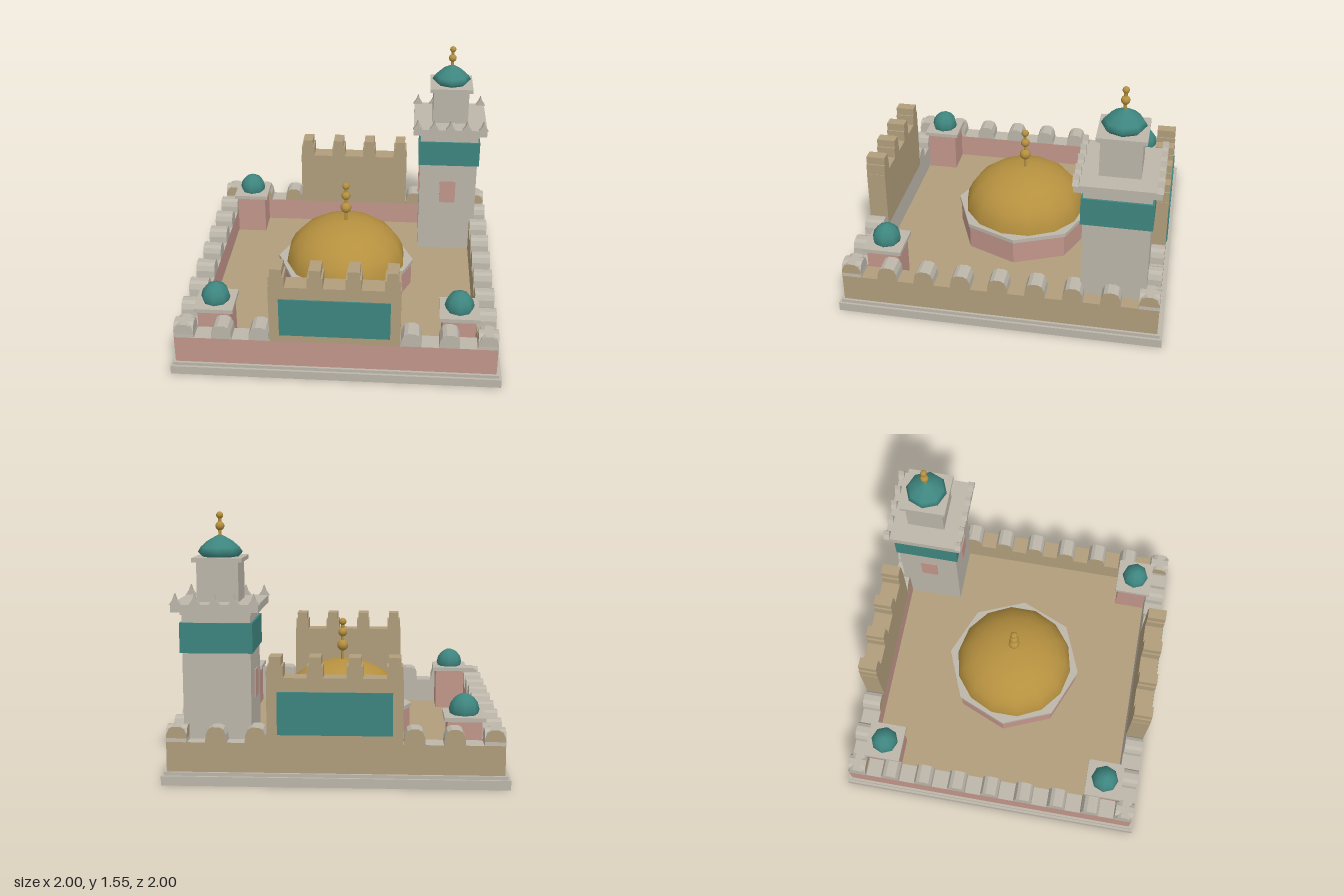
import * as THREE from 'three';

const mat = (name, color) => Object.assign(new THREE.MeshStandardMaterial({ color }), { name });

export function createModel() {
  const stone = mat('paleStone', 0xbcb6aa);
  const sand = mat('sandstone', 0xb09d7b);
  const pink = mat('pinkStone', 0xc2968a);
  const teal = mat('tealTile', 0x3e857f);
  const gold = mat('gold', 0xb5903f);

  const model = new THREE.Group();
  model.name = 'domedCourtyard';

  const add = (parent, name, geometry, material, x = 0, y = 0, z = 0) => {
    const mesh = new THREE.Mesh(geometry, material);
    mesh.name = name;
    mesh.position.set(x, y, z);
    parent.add(mesh);
    return mesh;
  };
  // Box given by its bottom and top heights
  const block = (parent, name, material, w, d, y0, y1, x = 0, z = 0) =>
    add(parent, name, new THREE.BoxGeometry(w, y1 - y0, d), material, x, (y0 + y1) / 2, z);
  const group = (name, x = 0, z = 0, turn = 0) => {
    const g = new THREE.Group();
    g.name = name;
    g.position.set(x, 0, z);
    g.rotation.y = turn;
    model.add(g);
    return g;
  };
  const lathe = (points, sides) =>
    new THREE.LatheGeometry(points.map(([r, y]) => new THREE.Vector2(r, y)), sides);
  const outline = (points) => new THREE.Shape(points.map(([x, y]) => new THREE.Vector2(x, y)));
  // Pole threaded with balls: [radius, height]
  const finial = (parent, y0, y1, r, balls) => {
    add(parent, 'finialPole', new THREE.CylinderGeometry(r, r, y1 - y0, 8), gold, 0, (y0 + y1) / 2, 0);
    for (const [radius, y] of balls) {
      add(parent, 'finialBall', new THREE.SphereGeometry(radius, 10, 7), gold, 0, y, 0);
    }
  };

  // Plinth and courtyard floor
  block(model, 'plinth', stone, 2, 2, 0, 0.055);
  block(model, 'plinthTop', stone, 1.97, 1.97, 0.055, 0.075);
  block(model, 'courtyardFloor', sand, 1.72, 1.72, 0.07, 0.09);

  // Rounded merlon, as deep as the wall
  const merlon = new THREE.ExtrudeGeometry(outline([
    [-0.062, 0], [0.062, 0], [0.058, 0.045], [0.043, 0.078], [0.02, 0.09],
    [-0.02, 0.09], [-0.043, 0.078], [-0.058, 0.045],
  ]), { depth: 0.12, bevelEnabled: false });

  // Four walls, each built facing +z and turned into place
  const walls = [
    { name: 'frontWall', turn: 0, length: 1.94, outer: pink, inner: stone, top: stone, ends: [sand, pink], cap: stone, gate: true },
    { name: 'leftSideWall', turn: Math.PI / 2, length: 1.7, outer: sand, inner: sand, top: sand, ends: [sand, sand], cap: sand },
    { name: 'backWall', turn: Math.PI, length: 1.94, outer: sand, inner: pink, top: stone, ends: [pink, sand], cap: sand, gate: true },
    { name: 'rightSideWall', turn: -Math.PI / 2, length: 1.7, outer: pink, inner: pink, top: stone, ends: [pink, pink], cap: stone },
  ];
  for (const w of walls) {
    const g = group(w.name, 0, 0, w.turn);
    block(g, 'wall', [...w.ends, w.top, stone, w.outer, w.inner], w.length, 0.12, 0.07, 0.25, 0, 0.91);
    for (let i = -4; i <= 4; i++) {
      const x = i * 0.2275;
      if (w.gate && Math.abs(x) < 0.4) continue;
      add(g, 'merlon', merlon, [w.cap, stone], x, 0.25, 0.85);
    }
    if (!w.gate) continue;
    // Raised gate with tiled panel and stepped battlements
    block(g, 'gate', sand, 0.78, 0.12, 0.25, 0.63, 0, 0.91);
    block(g, 'gatePanel', teal, 0.66, 0.009, 0.3, 0.55, 0, 0.974);
    for (const x of [-0.34, -0.113, 0.113, 0.34]) {
      block(g, 'gateMerlon', sand, 0.092, 0.12, 0.63, 0.7, x, 0.91);
      block(g, 'gateMerlonCap', sand, 0.07, 0.12, 0.7, 0.75, x, 0.91);
    }
  }

  // Corner turrets on the three corners without the tower
  const smallDome = lathe([[0.08, 0.38], [0.09, 0.41], [0.08, 0.45], [0.055, 0.483], [0.025, 0.5], [0, 0.506]], 8);
  for (const [x, z] of [[-0.746, 0.745], [0.74, 0.745], [-0.746, -0.75]]) {
    const g = group('cornerTurret', x, z);
    block(g, 'turretBody', pink, 0.2, 0.2, 0.09, 0.36);
    block(g, 'turretCap', stone, 0.24, 0.24, 0.36, 0.385);
    add(g, 'turretDome', smallDome, teal);
  }

  // Central dome on its octagonal drum
  const hall = group('centralDome');
  add(hall, 'drum', new THREE.CylinderGeometry(0.445, 0.445, 0.16, 8).toNonIndexed(), pink, 0, 0.17, 0);
  add(hall, 'drumRim', new THREE.CylinderGeometry(0.455, 0.455, 0.025, 8).toNonIndexed(), stone, 0, 0.26, 0);
  hall.children.forEach((m) => m.geometry.computeVertexNormals());
  const arc = [];
  for (let i = 0; i <= 7; i++) {
    const a = (i / 7) * Math.PI / 2;
    arc.push([i === 7 ? 0 : 0.4 * Math.cos(a), 0.27 + 0.292 * Math.sin(a)]);
  }
  add(hall, 'dome', lathe(arc, 14), gold);
  finial(hall, 0.55, 0.825, 0.01, [[0.037, 0.655], [0.03, 0.742], [0.024, 0.812]]);

  // Tower
  const tower = group('tower', 0.684, -0.687);
  block(tower, 'shaft', stone, 0.395, 0.395, 0.09, 1);
  block(tower, 'tileBand', teal, 0.42, 0.42, 0.755, 0.93);
  block(tower, 'shaftCornice', stone, 0.41, 0.41, 0.975, 0.99);
  block(tower, 'windowFront', pink, 0.11, 0.012, 0.465, 0.63, 0, 0.2);
  block(tower, 'windowSide', pink, 0.012, 0.11, 0.465, 0.63, -0.2, 0);
  block(tower, 'balcony', stone, 0.5, 0.5, 0.995, 1.04);
  const spike = new THREE.ExtrudeGeometry(
    outline([[-0.033, 0], [0.033, 0], [0.012, 0.03], [0, 0.065], [-0.012, 0.03]]),
    { depth: 0.036, bevelEnabled: false });
  for (const z of [-0.255, 0.219]) {
    for (let i = -2; i <= 2; i++) add(tower, 'balconySpike', spike, stone, i * 0.112, 1.038, z);
  }
  block(tower, 'lantern', stone, 0.242, 0.242, 1.04, 1.27);
  block(tower, 'lanternCap', stone, 0.29, 0.29, 1.27, 1.295);
  add(tower, 'towerDome', lathe([
    [0.105, 1.293], [0.132, 1.322], [0.115, 1.35], [0.075, 1.385], [0.035, 1.408], [0, 1.425],
  ], 8), teal);
  finial(tower, 1.4, 1.55, 0.01, [[0.027, 1.472], [0.021, 1.534]]);

  return model;
}
